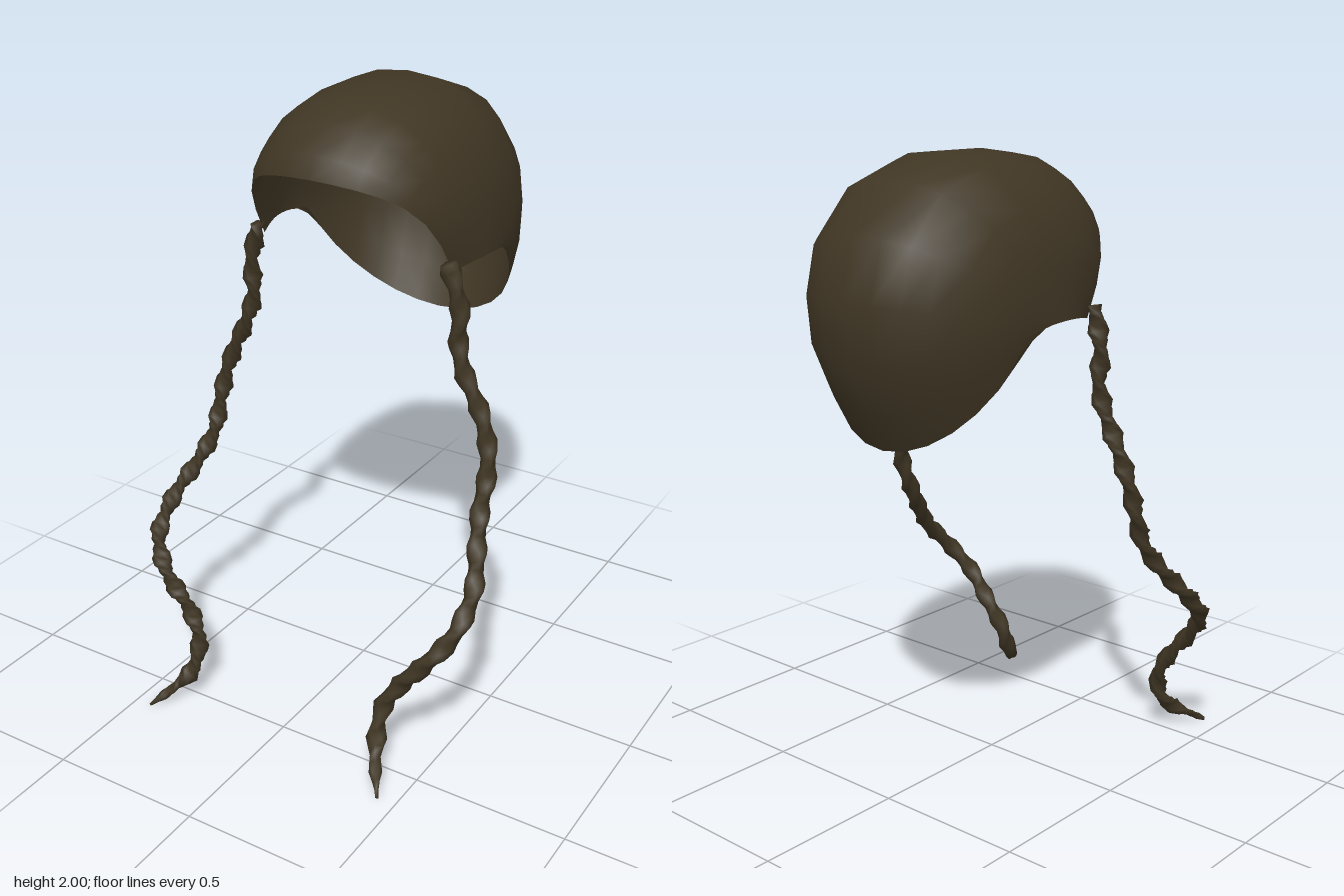
import * as THREE from 'three';

const darkBrown = new THREE.MeshStandardMaterial({ color: 0x40372a, side: THREE.DoubleSide });
darkBrown.name = 'dark brown hair';
darkBrown.color.setHex(0x403624);

// Joins a grid of points (rows x cols) into one smooth surface
function gridGeometry(points, rows, cols, wrap) {
  const index = [];
  for (let i = 0; i < rows - 1; i++) {
    for (let j = 0; j < (wrap ? cols : cols - 1); j++) {
      const k = (j + 1) % cols;
      const a = i * cols + j, b = i * cols + k, c = a + cols, d = b + cols;
      if (wrap) index.push(a, b, c, b, d, c);
      else index.push(a, c, b, b, c, d);
    }
  }
  const g = new THREE.BufferGeometry().setFromPoints(points);
  g.setIndex(index);
  g.computeVertexNormals();
  return g;
}

// Open cap: arches fanned from the front rim, over the crown, to the nape
function capGeometry() {
  const midline = [ // [y, z] along the centre, front to back
    [1.795, 0.3], [1.86, 0.275], [1.93, 0.2], [1.98, 0.1], [2, -0.05], [2, -0.26],
    [1.93, -0.46], [1.78, -0.6], [1.6, -0.645], [1.42, -0.63], [1.26, -0.56], [1.14, -0.495],
  ];
  const rows = midline.length, cols = 15, points = [];
  midline.forEach(([my, mz], i) => {
    const u = i / (rows - 1), arch = Math.sin(Math.PI * u);
    const sideY = 1.505 + 0.015 * arch;
    const sideZ = THREE.MathUtils.lerp(0.05, -0.24, u);
    const width = 0.338 + 0.027 * u + 0.025 * arch;
    const power = 2 / (2 + 0.4 * arch);
    const bow = [0.045, 0.025, 0.01][i] ?? 0;
    for (let j = 0; j < cols; j++) {
      const t = Math.PI * j / (cols - 1), c = Math.cos(t);
      const f = Math.pow(Math.max(0, Math.sin(t)), power);
      points.push(new THREE.Vector3(
        width * Math.sign(c) * Math.pow(Math.abs(c), power),
        sideY + (my - sideY) * f + bow * Math.sin(Math.PI * f),
        sideZ + (mz - sideZ) * f));
    }
  });
  return gridGeometry(points, rows, cols, false);
}

// Thin plait: a flattened section turning as it follows the path, ending in a point
function braidGeometry(side) {
  const path = [
    [0.34, 1.54, 0.08], [0.377, 1.4, 0.07], [0.373, 1.3, 0.068], [0.4, 1.2, 0.075],
    [0.45, 1.1, 0.072], [0.487, 1, 0.08], [0.503, 0.9, 0.1], [0.505, 0.8, 0.14],
    [0.533, 0.7, 0.21], [0.57, 0.6, 0.3], [0.56, 0.5, 0.4], [0.49, 0.4, 0.45],
    [0.41, 0.3, 0.45], [0.355, 0.2, 0.468], [0.358, 0.1, 0.51], [0.395, 0.05, 0.575],
    [0.44, 0.008, 0.64],
  ].map(([x, y, z]) => new THREE.Vector3(side * x, y, z));
  const curve = new THREE.CatmullRomCurve3(path);
  const steps = 68, sides = 6, points = [];
  const { normals, binormals } = curve.computeFrenetFrames(steps);
  for (let i = -1; i <= steps + 1; i++) { // the first and last rings close the ends
    const n = THREE.MathUtils.clamp(i, 0, steps), u = n / steps;
    const taper = i !== n ? 0 : Math.min(1, 0.22 + (1 - u) * 9);
    const turn = side * Math.PI * 17 * u;
    const centre = curve.getPointAt(u);
    for (let j = 0; j < sides; j++) {
      const a = 2 * Math.PI * j / sides;
      const p = 0.034 * taper * Math.cos(a), q = 0.021 * taper * Math.sin(a);
      points.push(centre.clone()
        .addScaledVector(normals[n], p * Math.cos(turn) - q * Math.sin(turn))
        .addScaledVector(binormals[n], p * Math.sin(turn) + q * Math.cos(turn)));
    }
  }
  return gridGeometry(points, steps + 3, sides, true);
}

export function createModel() {
  const model = new THREE.Group();
  model.name = 'braidedHair';
  const add = (name, geometry) => {
    const mesh = new THREE.Mesh(geometry, darkBrown);
    mesh.name = name;
    model.add(mesh);
  };
  add('hairCap', capGeometry());
  add('leftBraid', braidGeometry(1));
  add('rightBraid', braidGeometry(-1));
  return model;
}
